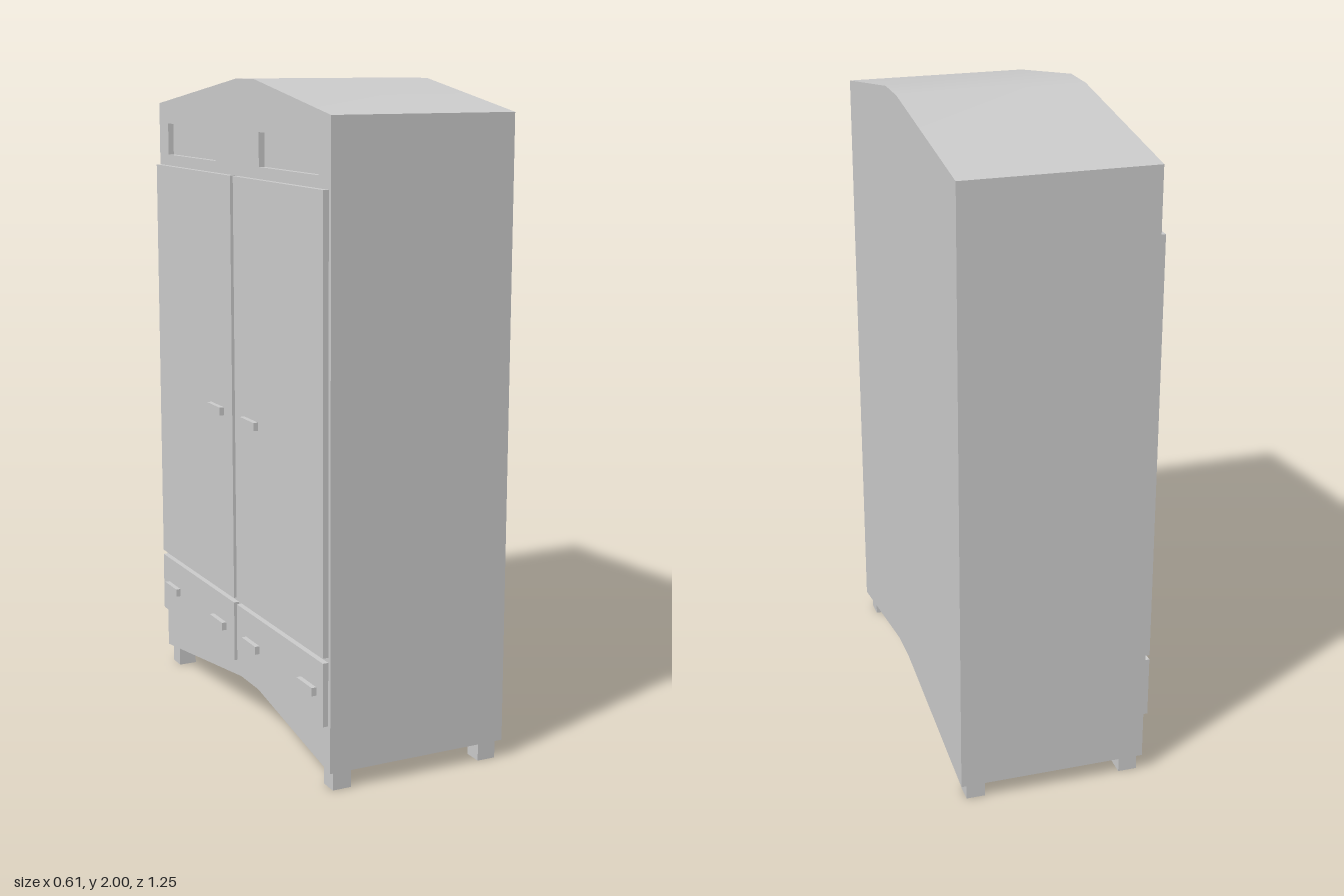
import * as THREE from 'three';
import { toCreasedNormals } from 'three/addons/utils/BufferGeometryUtils.js';

export function createModel() {
  const group = new THREE.Group();
  const material = new THREE.MeshStandardMaterial({ color: 0xcccccc });

  function add(name, geometry) {
    const mesh = new THREE.Mesh(geometry, material);
    mesh.name = name;
    group.add(mesh);
  }

  // Box given by its limits on each axis
  function block(name, [x0, x1], [y0, y1], [z0, z1]) {
    const g = new THREE.BoxGeometry(x1 - x0, y1 - y0, z1 - z0);
    g.translate((x0 + x1) / 2, (y0 + y1) / 2, (z0 + z1) / 2);
    add(name, g);
  }

  const back = 0.303, face = -0.272;
  const panelY = [1.75, 1.85];
  const panelZ = [[-0.55, -0.16], [0.16, 0.55]];

  // Cabinet body: arched outline (z, y) with two panel openings, extruded along x
  const outline = new THREE.Shape([
    [-0.625, 0.055], [0, 0.143], [0.13, 0.143], [0.625, 0.055],
    [0.625, 1.913], [0.13, 2], [0, 2], [-0.625, 1.913],
  ].map(([z, y]) => new THREE.Vector2(z, y)));
  for (const [z0, z1] of panelZ) {
    outline.holes.push(new THREE.Path([
      new THREE.Vector2(z0, panelY[0]), new THREE.Vector2(z0, panelY[1]),
      new THREE.Vector2(z1, panelY[1]), new THREE.Vector2(z1, panelY[0]),
    ]));
  }
  const body = new THREE.ExtrudeGeometry(outline, { depth: back - face, bevelEnabled: false });
  body.rotateY(-Math.PI / 2).translate(back, 0, 0);
  add('cabinetBody', toCreasedNormals(body, 0.5));

  // Recessed panels fill the openings, set slightly behind the face
  for (const z of panelZ) block('recessedPanel', [face + 0.018, back], panelY, z);

  // Doors with drawers beneath them
  for (const z of [[-0.615, -0.012], [0.009, 0.612]]) {
    block('door', [-0.289, face], [0.4, 1.715], z);
    block('drawer', [-0.289, face], [0.195, 0.385], z);
  }

  // Handles: one per door, two per drawer
  const handleX = [-0.304, -0.289];
  for (const z of [-0.175, 0.079]) block('doorHandle', handleX, [0.973, 0.998], [z, z + 0.1]);
  for (const z of [-0.565, -0.175, 0.079, 0.47]) {
    block('drawerHandle', handleX, [0.276, 0.301], [z, z + 0.1]);
  }

  // Short square feet
  for (const x of [-0.26, 0.225]) {
    for (const z of [-0.61, 0.56]) block('foot', [x, x + 0.058], [0, 0.066], [z, z + 0.058]);
  }

  return group;
}
